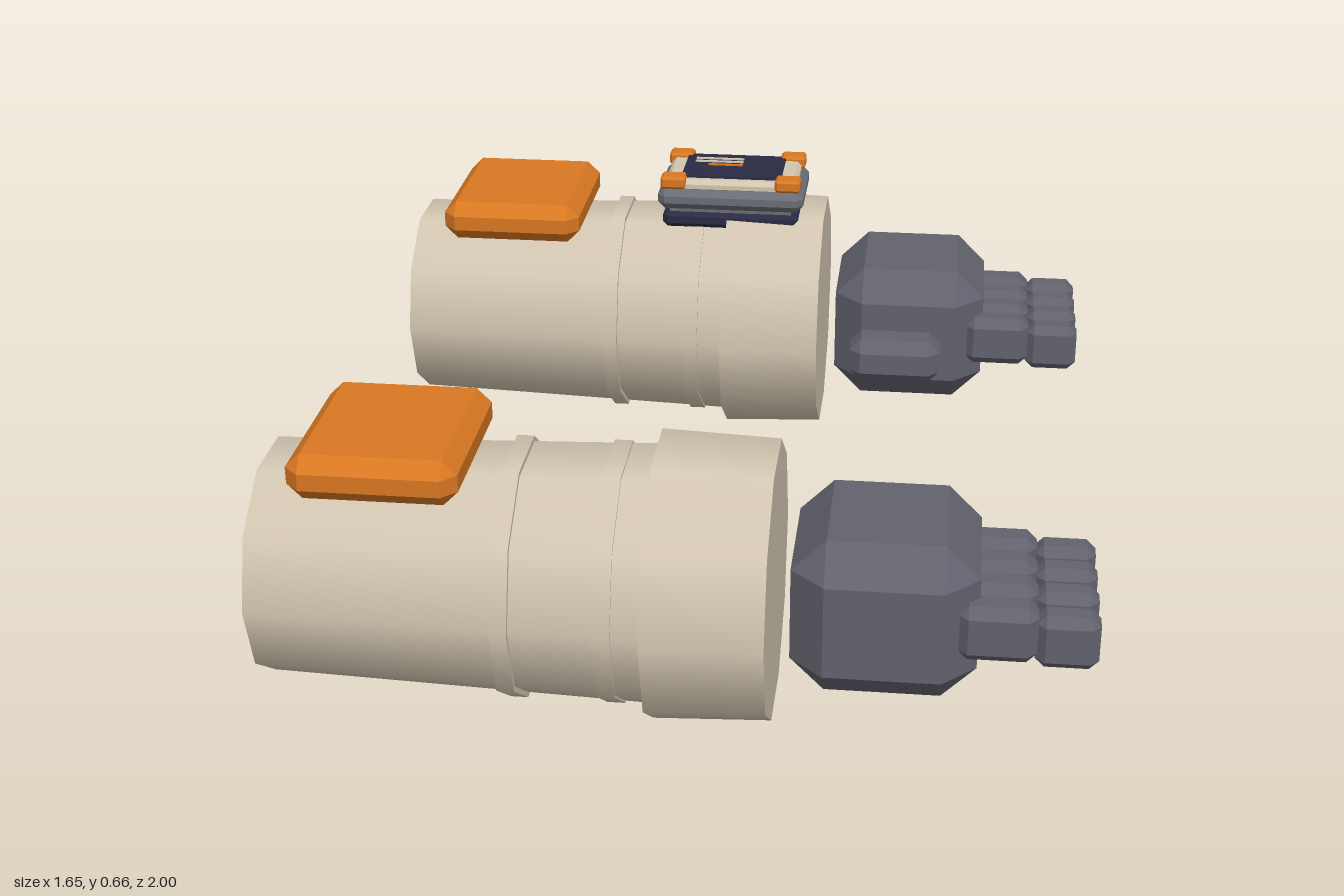
import * as THREE from 'three';
import { ConvexGeometry } from 'three/addons/geometries/ConvexGeometry.js';

const material = (name, color) => {
  const m = new THREE.MeshStandardMaterial({ color });
  m.name = name;
  return m;
};

// Box given by [min, max] per axis, with all edges cut at 45 degrees
function chamferBox([x0, x1], [y0, y1], [z0, z1], c) {
  const h = [(x1 - x0) / 2, (y1 - y0) / 2, (z1 - z0) / 2];
  const points = [];
  for (const sx of [-1, 1]) for (const sy of [-1, 1]) for (const sz of [-1, 1]) {
    for (let axis = 0; axis < 3; axis++) {
      const p = h.map((v, i) => (i === axis ? v : v - c));
      points.push(new THREE.Vector3(p[0] * sx, p[1] * sy, p[2] * sz));
    }
  }
  return new ConvexGeometry(points).translate((x0 + x1) / 2, (y0 + y1) / 2, (z0 + z1) / 2);
}

function plainBox([x0, x1], [y0, y1], [z0, z1]) {
  return new THREE.BoxGeometry(x1 - x0, y1 - y0, z1 - z0)
    .translate((x0 + x1) / 2, (y0 + y1) / 2, (z0 + z1) / 2);
}

// Ten-sided tapered sleeve section along x
function sleeve(x0, x1, r0, r1) {
  return new THREE.CylinderGeometry(r1, r0, x1 - x0, 10)
    .rotateZ(-Math.PI / 2).translate((x0 + x1) / 2, 0.285, 0);
}

export function createModel() {
  const cream = material('cream armour', 0xd2c6b1);
  const orange = material('orange plate', 0xd97822);
  const grey = material('dark grey glove', 0x62626e);
  const navy = material('navy screen', 0x2a2a44);
  const steel = material('steel casing', 0x6a6d76);

  const model = new THREE.Group();
  const add = (parent, name, geometry, mat) => {
    const mesh = new THREE.Mesh(geometry, mat);
    mesh.name = name;
    parent.add(mesh);
  };

  // side = +1 puts the inner (thumb) side towards -z
  function buildArm(name, side) {
    const arm = new THREE.Group();
    arm.name = name;
    arm.position.z = side * 0.706;
    const span = (a, b) => (side > 0 ? [a, b] : [-b, -a]);

    // Forearm, raised bands and wrist cuff
    add(arm, 'forearm', sleeve(-0.83, -0.04, 0.241, 0.265), cream);
    add(arm, 'elbowBand', sleeve(-0.34, -0.305, 0.268, 0.268), cream);
    add(arm, 'wristBand', sleeve(-0.143, -0.106, 0.268, 0.268), cream);
    add(arm, 'cuff', sleeve(-0.048, 0.19, 0.295, 0.286), cream);
    add(arm, 'topPlate', chamferBox([-0.743, -0.407], [0.505, 0.6], [-0.196, 0.196], 0.03), orange);

    // Hand
    add(arm, 'palm', chamferBox([0.227, 0.592], [0.119, 0.451], [-0.196, 0.196], 0.068), grey);
    add(arm, 'thumb', chamferBox([0.27, 0.49], [0.215, 0.322], span(-0.3, -0.185), 0.028), grey);
    for (let i = 0; i < 4; i++) {
      const z = -0.14 + i * 0.0935;
      const c = side > 0 ? z : -z;
      add(arm, 'fingerBase', chamferBox([0.55, 0.705], [0.226, 0.344], [c - 0.041, c + 0.041], 0.021), grey);
      add(arm, 'fingerTip', chamferBox([0.7, 0.823], [0.217, 0.33], [c - 0.036, c + 0.036], 0.019), grey);
    }
    model.add(arm);
    return arm;
  }

  buildArm('leftArm', 1);
  const deviceArm = buildArm('rightArm', -1);

  // Wrist console
  const console_ = new THREE.Group();
  console_.name = 'wristConsole';
  console_.position.set(-0.04, 0, -0.004);
  deviceArm.add(console_);
  add(console_, 'consoleBase', chamferBox([-0.168, 0.168], [0.53, 0.572], [-0.11, 0.11], 0.012), navy);
  add(console_, 'consoleNeck', plainBox([-0.15, 0.15], [0.565, 0.585], [-0.1, 0.1]), steel);
  add(console_, 'consoleCasing', chamferBox([-0.18, 0.18], [0.578, 0.632], [-0.119, 0.119], 0.018), steel);
  add(console_, 'consoleFrame', chamferBox([-0.163, 0.163], [0.622, 0.653], [-0.107, 0.107], 0.01), cream);
  add(console_, 'screen', plainBox([-0.123, 0.123], [0.651, 0.659], [-0.083, 0.083]), navy);
  for (const x of [-1, 1]) for (const z of [-1, 1]) {
    const cx = x * 0.141, cz = z * 0.092;
    add(console_, 'cornerCap',
      chamferBox([cx - 0.031, cx + 0.031], [0.632, 0.663], [cz - 0.025, cz + 0.025], 0.006), orange);
  }

  // Readout lines on the screen
  const lines = [[-0.1, 0.02, -0.046, cream], [-0.1, 0.02, -0.024, cream], [-0.065, 0.02, -0.001, orange]];
  for (const [x0, x1, z, mat] of lines) {
    add(console_, 'readoutLine', plainBox([x0, x1], [0.658, 0.662], [z - 0.004, z + 0.004]), mat);
  }
  return model;
}
